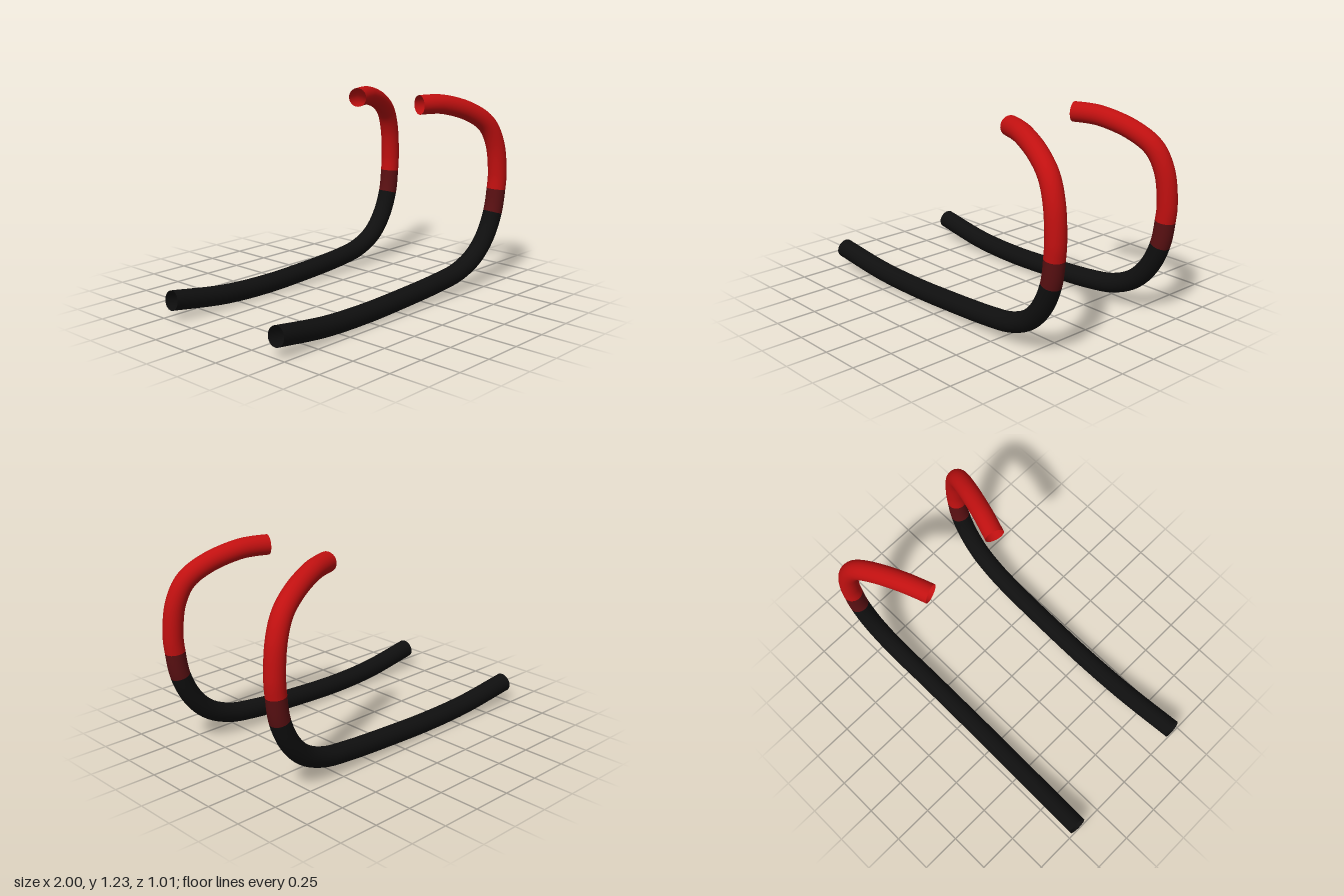
import * as THREE from 'three';

const RADIUS = 0.059;

// Centre line of one bar, from the low straight end to the curled-over tip
const PATH = [
  [-0.993, 0.122, 0.432], [-0.62, 0.073, 0.418], [-0.3, 0.061, 0.411], [0, 0.069, 0.41],
  [0.4, 0.094, 0.413], [0.58, 0.122, 0.419], [0.73, 0.19, 0.426], [0.835, 0.3, 0.434],
  [0.905, 0.45, 0.44], [0.93, 0.6, 0.444], [0.937, 0.7, 0.445], [0.914, 0.89, 0.436],
  [0.85, 1.02, 0.413], [0.72, 1.108, 0.367], [0.55, 1.162, 0.308], [0.47, 1.17, 0.28],
  [0.385, 1.17, 0.25],
];

// Part of a longer curve between arc lengths a and b
class SubCurve extends THREE.Curve {
  constructor(curve, a, b) {
    super();
    Object.assign(this, { curve, a, b });
  }
  getPoint(t, target = new THREE.Vector3()) {
    return this.curve.getPointAt(THREE.MathUtils.lerp(this.a, this.b, t), target);
  }
  getTangent(t, target = new THREE.Vector3()) {
    return this.curve.getTangentAt(THREE.MathUtils.lerp(this.a, this.b, t), target);
  }
}

// Arc-length position where the upright part of the curve reaches a height
function arcAtHeight(curve, y) {
  let u = 0.45;
  while (u < 1 && curve.getPointAt(u).y < y) u += 0.0005;
  return u;
}

function material(name, color) {
  const m = new THREE.MeshStandardMaterial({ color, side: THREE.DoubleSide });
  m.name = name;
  return m;
}

export function createModel() {
  const model = new THREE.Group();
  model.name = 'curvedBars';
  const black = material('black', 0x0f0f0f);
  const darkRed = material('dark red', 0x5a1012);
  const red = material('red', 0xc01010);

  for (const side of [1, -1]) {
    const bar = new THREE.Group();
    bar.name = side > 0 ? 'frontBar' : 'backBar';
    const curve = new THREE.CatmullRomCurve3(
      PATH.map(([x, y, z]) => new THREE.Vector3(x, y, z * side)));
    curve.arcLengthDivisions = 1000;
    const low = arcAtHeight(curve, 0.45);
    const high = arcAtHeight(curve, 0.6);

    // Open tube sections: long lower arm, short band, curled upper hook
    const sections = [
      ['lowerArm', 0, low, black, 60],
      ['band', low, high, darkRed, 8],
      ['upperHook', high, 1, red, 48],
    ];
    for (const [name, a, b, mat, steps] of sections) {
      const tube = new THREE.TubeGeometry(new SubCurve(curve, a, b), steps, RADIUS, 32);
      const mesh = new THREE.Mesh(tube, mat);
      mesh.name = name;
      bar.add(mesh);
    }
    model.add(bar);
  }
  return model;
}
